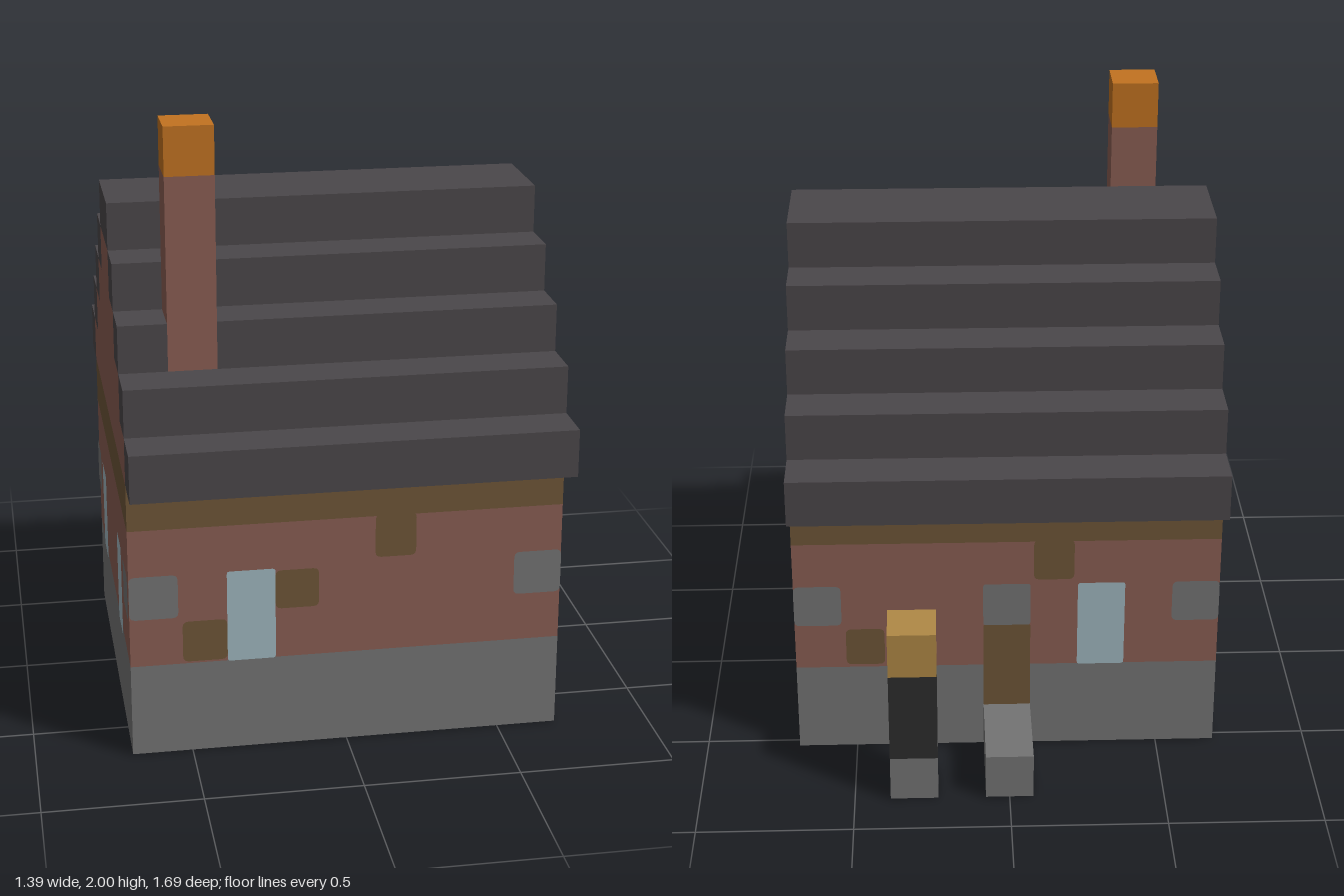
import * as THREE from 'three';

const U = 2 / 13; // one block
const LIFT = 0.004; // how far painted plates stand off a wall

const mat = (name, color) => {
  const m = new THREE.MeshStandardMaterial({ color });
  m.name = name;
  return m;
};

export function createModel() {
  const stone = mat('stone', 0x747474);
  const brick = mat('brick', 0x8a5e53);
  const slate = mat('slate', 0x4b474a);
  const timber = mat('timber', 0x6f5638);
  const glass = mat('glass', 0xa0b8c0);
  const ember = mat('ember', 0xc27320);
  const iron = mat('iron', 0x2d2d2d);
  const lampGlow = mat('lampGlow', 0xb08946);
  const darkSoil = mat('darkSoil', 0x4c3324);

  const model = new THREE.Group();
  model.name = 'cottage';

  // Box from its limits, measured in blocks
  const block = (name, material, x0, x1, y0, y1, z0, z1, parent = model) => {
    const g = new THREE.BoxGeometry((x1 - x0) * U, (y1 - y0) * U, (z1 - z0) * U);
    const mesh = new THREE.Mesh(g, material);
    mesh.name = name;
    mesh.position.set((x0 + x1) / 2 * U, (y0 + y1) / 2 * U, (z0 + z1) / 2 * U);
    parent.add(mesh);
    return mesh;
  };

  // Thin plate with rounded corners, in blocks, in the plane of a wall
  const plate = (name, material, wall, x0, x1, y0, y1, r = 0.12) => {
    const s = new THREE.Shape();
    s.moveTo(x0 + r, y0);
    s.lineTo(x1 - r, y0).quadraticCurveTo(x1, y0, x1, y0 + r);
    s.lineTo(x1, y1 - r).quadraticCurveTo(x1, y1, x1 - r, y1);
    s.lineTo(x0 + r, y1).quadraticCurveTo(x0, y1, x0, y1 - r);
    s.lineTo(x0, y0 + r).quadraticCurveTo(x0, y0, x0 + r, y0);
    const mesh = new THREE.Mesh(new THREE.ShapeGeometry(s, 3), material);
    mesh.name = name;
    mesh.scale.set(U, U, 1);
    mesh.position.z = LIFT;
    wall.add(mesh);
  };

  // Wall frame: local x runs rightwards as seen from outside
  const wallFrame = (name, x, z, turn) => {
    const g = new THREE.Group();
    g.name = name;
    g.position.set(x * U, 0, z * U);
    g.rotation.y = turn;
    model.add(g);
    return g;
  };

  // Walls in layers
  block('foundation', stone, -4.5, 4.5, 0, 2, -3.5, 4.5);
  block('brickWalls', brick, -4.5, 4.5, 2, 5, -3.5, 4.5);
  block('timberBand', timber, -4.5, 4.5, 5, 6, -3.5, 4.5);

  // Stepped gable and roof
  for (let i = 0; i < 4; i++) {
    const y = 6 + i, back = -3.5 + i, front = 4.5 - i;
    block('gable', brick, -4.5, 4.5, y, y + 1, back, front);
    block('backRoofStep', slate, -4.5, 4.5, y, y + 1, back - 1, back);
    if (i === 2) { // the chimney passes through this step
      block('frontRoofStepRight', slate, -4.5, -3.5, y, y + 1, front, front + 1);
      block('frontRoofStepLeft', slate, -2.5, 4.5, y, y + 1, front, front + 1);
    } else {
      block('frontRoofStep', slate, -4.5, 4.5, y, y + 1, front, front + 1);
    }
  }
  block('roofRidge', slate, -4.5, 4.5, 10, 11, -0.5, 1.5);

  // Chimney
  block('chimney', brick, -3.5, -2.5, 8, 12, 2.5, 3.5);
  block('chimneyFire', ember, -3.5, -2.5, 12, 13, 2.5, 3.5);

  // Doorstep and lamp post
  block('doorstep', stone, -0.5, 0.5, 0, 1, -5.5, -3.5);
  block('lampBase', stone, 1.5, 2.5, 0, 1, -5.5, -4.5);
  block('lampPost', iron, 1.5, 2.5, 1, 3, -5.5, -4.5);
  block('lampHead', lampGlow, 1.5, 2.5, 3, 4, -5.5, -4.5);

  // Front wall details
  const front = wallFrame('frontWallDetails', 0, 4.5, 0);
  plate('window', glass, front, -2.5, -1.5, 2, 4, 0.06);
  plate('timberPatch', timber, front, -3.42, -2.5, 2.05, 2.95);
  plate('timberPatch', timber, front, -1.5, -0.6, 3.1, 3.95);
  plate('timberDrip', timber, front, 0.57, 1.42, 4.1, 5.05);

  // Back wall details
  const back = wallFrame('backWallDetails', 0, -3.5, Math.PI);
  plate('window', glass, back, 1.5, 2.5, 2, 4, 0.06);
  plate('timberDrip', timber, back, 0.57, 1.42, 4.1, 5.05);
  plate('timberPatch', timber, back, -3.42, -2.6, 2.08, 2.95);
  plate('door', timber, back, -0.5, 0.5, 1, 3, 0.02);
  plate('doorLintel', stone, back, -0.5, 0.5, 3, 4, 0.06);

  // Corner stones on front and back
  for (const wall of [front, back]) {
    plate('cornerStone', stone, wall, -4.5, -3.5, 3.05, 4);
    plate('cornerStone', stone, wall, 3.5, 4.5, 3.05, 4);
  }

  // Side walls: two windows and two corner stones each
  for (const side of [1, -1]) {
    const wall = wallFrame(side > 0 ? 'leftWallDetails' : 'rightWallDetails', side * 4.5, 0.5, side * Math.PI / 2);
    for (const s of [1, -1]) {
      plate('window', glass, wall, s * 2 - 0.5, s * 2 + 0.5, 2, 4, 0.06);
      plate('cornerStone', stone, wall, s * 3.5 + 0 - 0.5, s * 3.5 + 0.5, 3.05, 4);
    }
  }

  // Underside: timber floor with diagonal rows of dark soil
  const floor = new THREE.Group();
  floor.name = 'floor';
  floor.rotation.x = Math.PI / 2;
  floor.position.y = LIFT;
  const floorPlate = (name, material, x0, x1, z0, z1, y) => {
    const mesh = new THREE.Mesh(new THREE.PlaneGeometry((x1 - x0) * U, (z1 - z0) * U), material);
    mesh.name = name;
    mesh.position.set((x0 + x1) / 2 * U, (z0 + z1) / 2 * U, y);
    floor.add(mesh);
  };
  floorPlate('floorBoards', timber, -3.5, 3.5, -2.5, 3.5, LIFT * 1.5);
  for (let i = 0; i < 7; i++) {
    for (let j = 0; j < 6; j++) {
      if ((i - j + 6) % 3 !== 1) continue;
      floorPlate('soilPatch', darkSoil, 2.5 - i, 3.5 - i, j - 2.5, j - 1.5, LIFT * 2);
    }
  }
  model.add(floor);

  return model;
}
